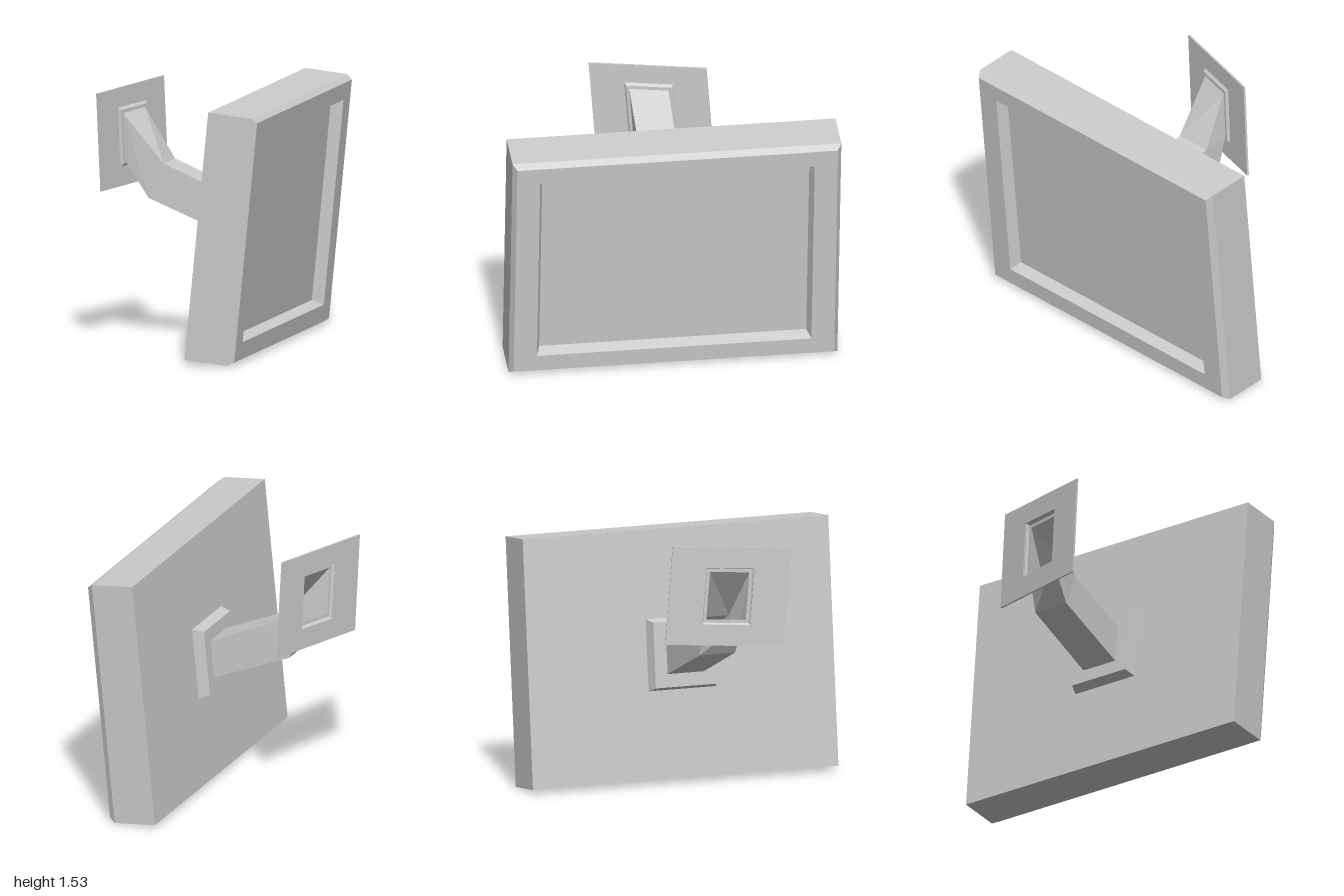
import * as THREE from 'three';

const V = (x, y, z) => new THREE.Vector3(x, y, z);
const material = new THREE.MeshStandardMaterial({ color: 0xcccccc, flatShading: true, side: THREE.DoubleSide });

// Rectangle facing +x, counter-clockwise: bottom near, bottom far, top far, top near
function rect(x, height, width) {
  const h = height / 2, w = width / 2;
  return [V(x, -h, w), V(x, -h, -w), V(x, h, -w), V(x, h, w)];
}

// Skin a row of four-cornered sections, with optional end caps
function loft(name, sections, capStart = true, capEnd = true) {
  const pos = [];
  const quad = (a, b, c, d) => [a, b, c, a, c, d].forEach(p => pos.push(p.x, p.y, p.z));
  for (let s = 0; s + 1 < sections.length; s++) {
    const a = sections[s], b = sections[s + 1];
    for (let i = 0; i < 4; i++) {
      const j = (i + 1) % 4;
      quad(a[i], a[j], b[j], b[i]);
    }
  }
  if (capStart) quad(...[...sections[0]].reverse());
  if (capEnd) quad(...sections[sections.length - 1]);
  const geometry = new THREE.BufferGeometry();
  geometry.setAttribute('position', new THREE.Float32BufferAttribute(pos, 3));
  geometry.computeVertexNormals();
  const mesh = new THREE.Mesh(geometry, material);
  mesh.name = name;
  return mesh;
}

export function createModel() {
  const model = new THREE.Group();
  model.name = 'wallMountedScreen';

  // Turned and tilted frame of the screen: x out of the screen, y up, z across
  const across = V(0.289, 0.0026, 0.957).normalize();
  const out = V(0.094, 0.995, -0.027).cross(across).normalize();
  const up = across.clone().cross(out);
  const tilt = new THREE.Matrix4().makeBasis(out, up, across).setPosition(0.015, 0.773, 0.038);
  const head = new THREE.Group();
  head.name = 'screenHead';
  head.applyMatrix4(tilt);

  // Casing with chamfered front edge and sunken display
  const W = 1.965, H = 1.492;
  head.add(loft('casing', [
    rect(0, H, W),
    rect(0.262, H, W),
    rect(0.3, H - 0.05, W - 0.05),
    rect(0.3, 1.236, 1.64),
    rect(0.23, 1.192, 1.596),
  ]));

  // Bracket block on the back of the casing
  head.add(loft('backBracket', [rect(-0.066, 0.39, 0.39), rect(0, 0.43, 0.43)]));
  model.add(head);

  // Slightly skewed rectangles lying on the wall
  const wallRect = (x, height, width) =>
    rect(x, height, width).map(p => V(x, 1.2275 + p.y - 0.035 * p.z, 0.25 + p.z + 0.076 * p.y));

  // Thin wall plate with an opening
  const plateBack = wallRect(-0.652, 0.59, 0.705);
  model.add(loft('wallPlate', [
    plateBack,
    wallRect(-0.64, 0.59, 0.705),
    wallRect(-0.64, 0.34, 0.285),
    wallRect(-0.652, 0.34, 0.285),
    plateBack,
  ], false, false));

  // Bevelled collar around the arm
  const armStart = wallRect(-0.625, 0.285, 0.235);
  model.add(loft('collar', [
    wallRect(-0.64, 0.355, 0.295),
    wallRect(-0.625, 0.325, 0.27),
    armStart,
  ], false, false));

  // Hollow bent arm from the collar to the bracket
  const elbow = [V(-0.49, 0.86, 0.307), V(-0.555, 0.86, 0.09), V(-0.466, 1.07, 0.063), V(-0.403, 1.07, 0.28)];
  const armEnd = rect(-0.066, 0.23, 0.232).map(p => p.applyMatrix4(tilt));
  model.add(loft('arm', [armStart, elbow, armEnd], false, false));

  return model;
}
